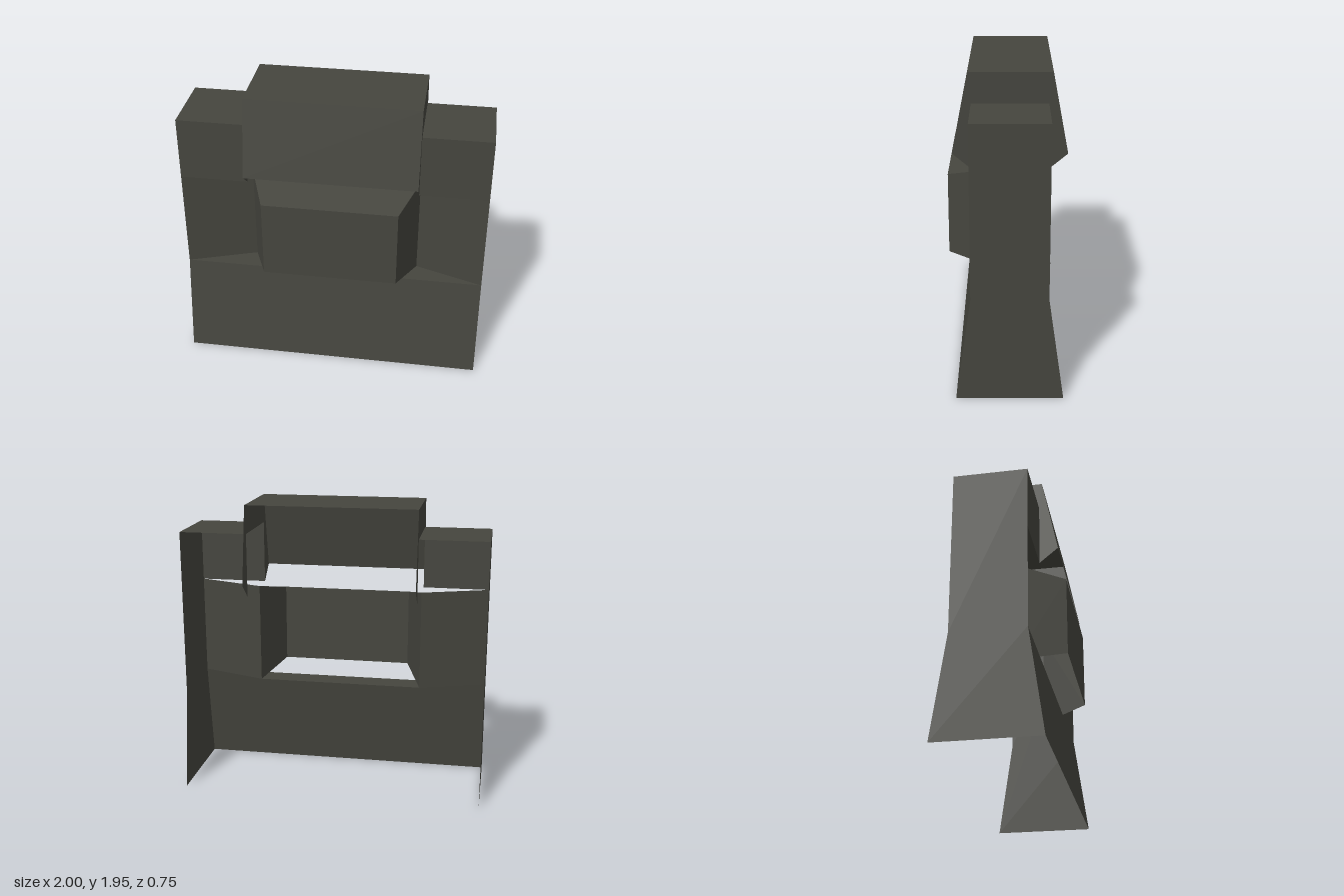
import * as THREE from 'three';

const W = 1, IN = 0.555;                 // outer and inner half widths
const FRONT = 0.22, BACK = -0.25;        // depth of the upright posts
const LEDGE = 0.67, BROW = 1.34, POST = 1.755;
const RECESS = 0.065;                    // depth the cheeks slope back to

export function createModel() {
  const shell = new THREE.MeshStandardMaterial({ color: 0x45453e, flatShading: true, side: THREE.DoubleSide });
  shell.name = 'dark olive grey';
  const model = new THREE.Group();
  model.name = 'cabinetShell';

  const add = (name, geometry) => {
    geometry.computeVertexNormals();
    const mesh = new THREE.Mesh(geometry, shell);
    mesh.name = name;
    model.add(mesh);
  };

  // Flat four-cornered plate, corners anticlockwise from outside; mirrored over x on request
  const plate = (name, corners, mirror = false) => {
    const pts = mirror ? corners.map(([x, y, z]) => [-x, y, z]).reverse() : corners;
    const g = new THREE.BufferGeometry();
    g.setAttribute('position', new THREE.Float32BufferAttribute([0, 1, 2, 0, 2, 3].flatMap(i => pts[i]), 3));
    add(name, g);
  };

  // Upright side panel from a (z, y) outline, standing at the given x
  const sidePanel = (name, outline, x) => {
    const shape = new THREE.Shape(outline.map(([z, y]) => new THREE.Vector2(-z, y)));
    const g = new THREE.ShapeGeometry(shape).rotateY(Math.PI / 2);
    if (x < 0) {
      const index = g.index.array;
      for (let i = 0; i < index.length; i += 3) [index[i], index[i + 1]] = [index[i + 1], index[i]];
    }
    add(name, g.translate(x, 0, 0).toNonIndexed());
  };

  // Flared base front and the ledge over it
  plate('baseFront', [[-W, 0, 0.315], [W, 0, 0.315], [W, LEDGE, FRONT], [-W, LEDGE, FRONT]]);
  plate('ledge', [[-W, LEDGE, FRONT], [W, LEDGE, FRONT], [IN, LEDGE, RECESS], [-IN, LEDGE, RECESS]]);

  // Projecting centre box, open underneath
  const bx = 0.44, b0 = 0.742, b1 = 1.268, bz = 0.375;
  plate('boxFront', [[-bx, b0, bz], [bx, b0, bz], [bx, b1, bz], [-bx, b1, bz]]);
  plate('boxTop', [[-bx, b1, bz], [bx, b1, bz], [IN, BROW, RECESS], [-IN, BROW, RECESS]]);

  // Head block: front and roof
  const headTop = 1.945, headLow = 1.44;
  plate('headFront', [[-IN, headLow, 0.34], [IN, headLow, 0.34], [IN, headTop, 0.24], [-IN, headTop, 0.24]]);
  plate('headRoof', [[-IN, headTop, 0.24], [IN, headTop, 0.24], [IN, headTop, -0.275], [-IN, headTop, -0.275]]);

  const outerOutline = [[0.315, 0], [-0.345, 0], [BACK, LEDGE], [BACK, POST], [FRONT, POST], [FRONT, LEDGE]];
  // Head sides straddle the posts like a saddle
  const headOutline = [[0.24, headTop], [0.34, headLow], [FRONT, BROW], [FRONT, POST],
    [BACK, POST], [BACK, BROW], [-0.37, headLow], [-0.275, headTop]];

  for (const s of [1, -1]) {
    const side = s > 0 ? 'left' : 'right', m = s < 0;
    sidePanel(side + 'Wall', outerOutline, s * W);
    sidePanel(side + 'HeadSide', headOutline, s * IN);
    plate(side + 'PostFront', [[IN, BROW, FRONT], [W, BROW, FRONT], [W, POST, FRONT], [IN, POST, FRONT]], m);
    plate(side + 'PostTop', [[IN, POST, FRONT], [W, POST, FRONT], [W, POST, BACK], [IN, POST, BACK]], m);
    // Cheek slopes back from the wall to the box
    plate(side + 'Cheek', [[IN, LEDGE, RECESS], [W, LEDGE, FRONT], [W, BROW, FRONT], [IN, BROW, RECESS]], m);
    plate(side + 'BoxSide', [[bx, b0, bz], [IN, LEDGE, RECESS], [IN, BROW, RECESS], [bx, b1, bz]], m);
  }
  return model;
}
